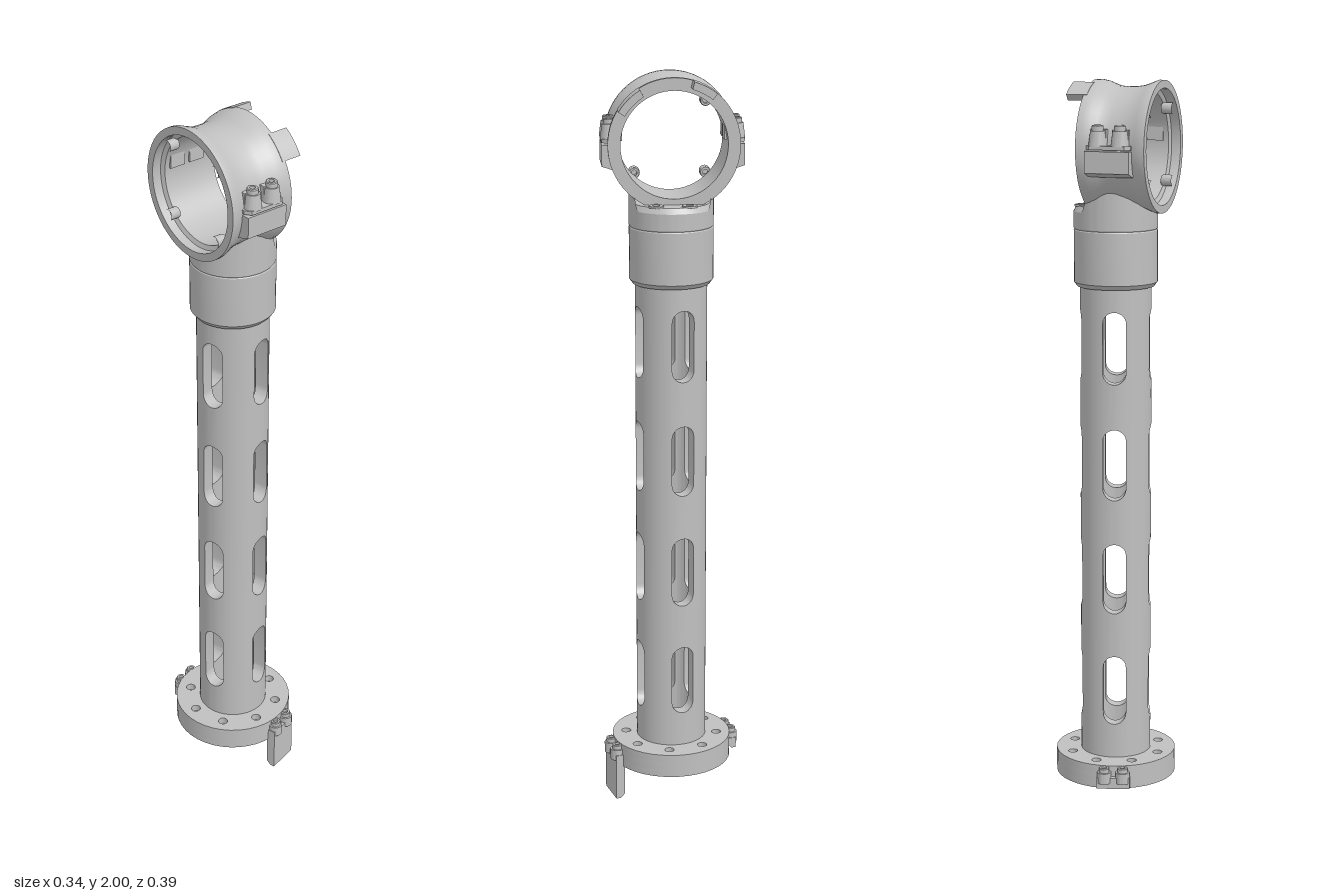
import * as THREE from 'three';
import { toCreasedNormals } from 'three/addons/utils/BufferGeometryUtils.js';

const metal = new THREE.MeshStandardMaterial({ color: 0xc0c0c0 });
metal.name = 'light grey metal';
const DEG = Math.PI / 180;

function add(parent, name, geo, x = 0, y = 0, z = 0) {
  const m = new THREE.Mesh(toCreasedNormals(geo, 0.45), metal);
  m.name = name;
  m.position.set(x, y, z);
  parent.add(m);
  return m;
}

const lathe = (pts, seg = 48) =>
  new THREE.LatheGeometry(pts.map(p => new THREE.Vector2(p[0], p[1])), seg);

// Socket-head bolt standing on y = 0
const bolt = (r, h) =>
  lathe([[r, 0], [r, h * 0.85], [r * 0.88, h], [r * 0.5, h], [r * 0.5, h * 0.4], [0, h * 0.4]], 20);

// Extrude a shape drawn in (-z, y) along x
function extrudeX(shape, x0, x1) {
  const g = new THREE.ExtrudeGeometry(shape, { depth: x1 - x0, bevelEnabled: false, curveSegments: 12 });
  return g.rotateY(Math.PI / 2).translate(x0, 0, 0);
}

// Extrude a shape drawn in (x, -z) upward
function extrudeY(shape, y0, y1) {
  const g = new THREE.ExtrudeGeometry(shape, { depth: y1 - y0, bevelEnabled: false, curveSegments: 20 });
  return g.rotateX(-Math.PI / 2).translate(0, y0, 0);
}

// Hollow tube wall with four columns of rounded, straight-cut slots
function slottedTube(R, r, y0, y1, rows, halfW, halfH) {
  const pos = [];
  const P = (a, rad, y) => [rad * Math.sin(a), y, rad * Math.cos(a)];
  const quad = (a, b, c, d) => pos.push(...a, ...b, ...c, ...a, ...c, ...d);
  // o = outer angles, n = inner angles, b and t = bottom and top heights
  const strip = (o, n, b, t) => {
    quad(P(o[0], R, b[0]), P(o[1], R, b[1]), P(o[1], R, t[1]), P(o[0], R, t[0]));
    quad(P(n[0], r, t[0]), P(n[1], r, t[1]), P(n[1], r, b[1]), P(n[0], r, b[0]));
    quad(P(o[0], R, t[0]), P(o[1], R, t[1]), P(n[1], r, t[1]), P(n[0], r, t[0]));
    quad(P(n[0], r, b[0]), P(n[1], r, b[1]), P(o[1], R, b[1]), P(o[0], R, b[0]));
  };
  const wo = Math.asin(halfW / R), wi = Math.asin(halfW / r), straight = halfH - halfW, N = 12, M = 6;
  for (let k = 0; k < 4; k++) {
    const mid = (30 + 90 * k) * DEG;
    for (let i = 0; i < N; i++) {
      const t = [Math.PI * i / N, Math.PI * (i + 1) / N];
      const o = t.map(a => mid - Math.asin(halfW * Math.cos(a) / R));
      const n = t.map(a => mid - Math.asin(halfW * Math.cos(a) / r));
      const h = t.map(a => straight + halfW * Math.sin(a));
      for (let j = 0; j <= rows.length; j++) {
        strip(o, n, h.map(d => (j === 0 ? y0 : rows[j - 1] + d)),
          h.map(d => (j === rows.length ? y1 : rows[j] - d)));
      }
    }
    // Straight slot sides
    for (const y of rows) {
      const b = y - straight, t = y + straight;
      quad(P(mid - wi, r, b), P(mid - wi, r, t), P(mid - wo, R, t), P(mid - wo, R, b));
      quad(P(mid + wo, R, b), P(mid + wo, R, t), P(mid + wi, r, t), P(mid + wi, r, b));
    }
    // Plain wall up to the next slot column
    const between = (w, i) => mid + w + (Math.PI / 2 - 2 * w) * i / M;
    for (let i = 0; i < M; i++)
      strip([between(wo, i), between(wo, i + 1)], [between(wi, i), between(wi, i + 1)], [y0, y0], [y1, y1]);
  }
  const g = new THREE.BufferGeometry();
  g.setAttribute('position', new THREE.Float32BufferAttribute(pos, 3));
  return g;
}

// Base flange with counterbored holes and a recessed underside
function buildBase(post) {
  const base = new THREE.Group();
  base.name = 'base';
  post.add(base);
  const drilledDisc = holeR => {
    const disc = new THREE.Shape().absarc(0, 0, 0.165, 0, Math.PI * 2);
    const hole = (x, y, r) => disc.holes.push(new THREE.Path().absarc(x, y, r, 0, Math.PI * 2, true));
    hole(0, 0, 0.058);
    for (let i = 0; i < 8; i++) {
      const a = (7.5 + 45 * i) * DEG;
      hole(0.127 * Math.sin(a), -0.127 * Math.cos(a), holeR);
    }
    return disc;
  };
  add(base, 'baseFlangeTop', extrudeY(drilledDisc(0.013), 0.14, 0.16));
  add(base, 'baseFlangeBottom', extrudeY(drilledDisc(0.007), 0.115, 0.14));
  add(base, 'baseRim', lathe([[0.145, 0.095], [0.165, 0.095], [0.165, 0.115], [0.145, 0.115], [0.145, 0.095]], 40));

  // Front clip carries the long tongue, rear clip is short
  for (const [angle, bottom, name] of [[30, 0, 'frontClip'], [210, 0.1, 'rearClip']]) {
    const clip = new THREE.Group();
    clip.name = name;
    clip.rotation.y = angle * DEG;
    base.add(clip);
    const side = new THREE.Shape([[0.155, bottom + 0.012], [0.167, bottom], [0.18, bottom], [0.18, 0.13], [0.155, 0.13]]
      .map(([z, y]) => new THREE.Vector2(-z, y)));
    add(clip, 'clipTongue', extrudeX(side, -0.045, 0.045));
    for (const x of [-0.025, 0.025]) {
      add(clip, 'clipBoss', new THREE.CylinderGeometry(0.019, 0.019, 0.03, 20), x, 0.13, 0.17);
      add(clip, 'clipBolt', bolt(0.014, 0.014), x, 0.144, 0.17);
    }
  }
}

// Collar on top of the tube, rising into a saddle under the ring
function buildCollar(post, ring) {
  add(post, 'collar', lathe([[0.06, 1.457], [0.103, 1.457], [0.112, 1.469], [0.112, 1.607], [0.11, 1.61],
    [0.112, 1.613], [0.112, 1.657], [0.103, 1.672], [0, 1.672]]));
  add(post, 'collarPlug', new THREE.CylinderGeometry(0.062, 0.062, 0.03, 32), 0, 1.47, 0);
  const saddle = new THREE.CylinderGeometry(0.112, 0.112, 0.04, 96, 1, true).translate(0, 1.635, 0);
  const p = saddle.attributes.position, v = new THREE.Vector3();
  ring.updateMatrix();
  const inverse = ring.matrix.clone().invert();
  for (let i = 0; i < p.count; i++) {
    if (p.getY(i) < 1.64) continue;
    v.set(p.getX(i) + post.position.x, 0, p.getZ(i) + post.position.z).applyMatrix4(inverse);
    const arch = 1.827 - Math.sqrt(0.152 ** 2 - Math.min(0.12, Math.abs(v.z)) ** 2);
    const blend = THREE.MathUtils.smoothstep(v.x, 0.175, 0.2);
    p.setY(i, THREE.MathUtils.lerp(arch, 1.657, blend));
  }
  add(post, 'saddle', saddle);
  for (const a of [74, 132])
    add(post, 'collarBolt', bolt(0.02, 0.006), 0.09 * Math.sin(a * DEG), 1.67, 0.09 * Math.cos(a * DEG));
}

// Waisted clamp ring: local x runs along the bore
function buildRing(ring) {
  const body = lathe([[0.14, 0.03], [0.152, 0.025], [0.152, 0], [0.173, 0], [0.173, 0.012], [0.166, 0.03],
    [0.159, 0.05], [0.156, 0.07], [0.155, 0.1], [0.157, 0.12], [0.162, 0.135], [0.169, 0.152], [0.173, 0.17],
    [0.173, 0.185], [0.14, 0.185], [0.14, 0.03]], 64);
  add(ring, 'ringBody', body.rotateZ(-Math.PI / 2));

  // Side lugs with paired bolts
  for (const s of [-1, 1]) {
    const lower = [[0.145, -0.002], [0.187, -0.002], [0.187, -0.058], [0.15, -0.07], [0.135, -0.05]];
    add(ring, 'lowerLug', extrudeX(new THREE.Shape(lower.map(([z, y]) => new THREE.Vector2(-s * z, y))), 0.036, 0.156));
    const pad = [[0.036, 0.14], [0.036, 0.17], [0.048, 0.187], [0.144, 0.187], [0.156, 0.17], [0.156, 0.14]];
    add(ring, 'upperLug', extrudeY(new THREE.Shape(pad.map(([x, z]) => new THREE.Vector2(x, -s * z))), 0.002, 0.012));
    for (const x of [0.066, 0.126]) {
      add(ring, 'lugBoss', new THREE.CylinderGeometry(0.019, 0.024, 0.04, 24), x, 0.03, s * 0.166);
      add(ring, 'lugWeb', new THREE.BoxGeometry(0.044, 0.045, 0.03), x, 0.03, s * 0.148);
      add(ring, 'lugBolt', bolt(0.015, 0.015), x, 0.049, s * 0.166);
    }
  }

  // Curved tabs on the open end
  for (const [from, to] of [[32, 58], [-38, -16]]) {
    const a = (90 + from) * DEG, b = (90 + to) * DEG;
    const arc = new THREE.Shape();
    arc.absarc(0, 0, 0.174, a, b, false);
    arc.absarc(0, 0, 0.154, b, a, true);
    add(ring, 'endTab', extrudeX(arc, 0.175, 0.232));
  }

  // Small pegs inside the other end
  for (const y of [-0.095, 0.095]) for (const z of [-0.095, 0.095])
    add(ring, 'borePeg', bolt(0.015, 0.03).rotateZ(-Math.PI / 2), 0.004, y, z);
}

export function createModel() {
  const model = new THREE.Group();
  model.name = 'tubeMount';
  const post = new THREE.Group();
  post.name = 'post';
  post.position.set(0.003, 0, -0.01);
  const ring = new THREE.Group();
  ring.name = 'clampRing';
  ring.position.set(-0.128, 1.827, 0.018);
  ring.rotation.y = 14 * DEG;
  model.add(post, ring);

  add(post, 'tube', slottedTube(0.096, 0.06, 0.13, 1.47, [0.352, 0.668, 0.984, 1.3], 0.031, 0.097));
  buildBase(post);
  buildCollar(post, ring);
  buildRing(ring);
  return model;
}
